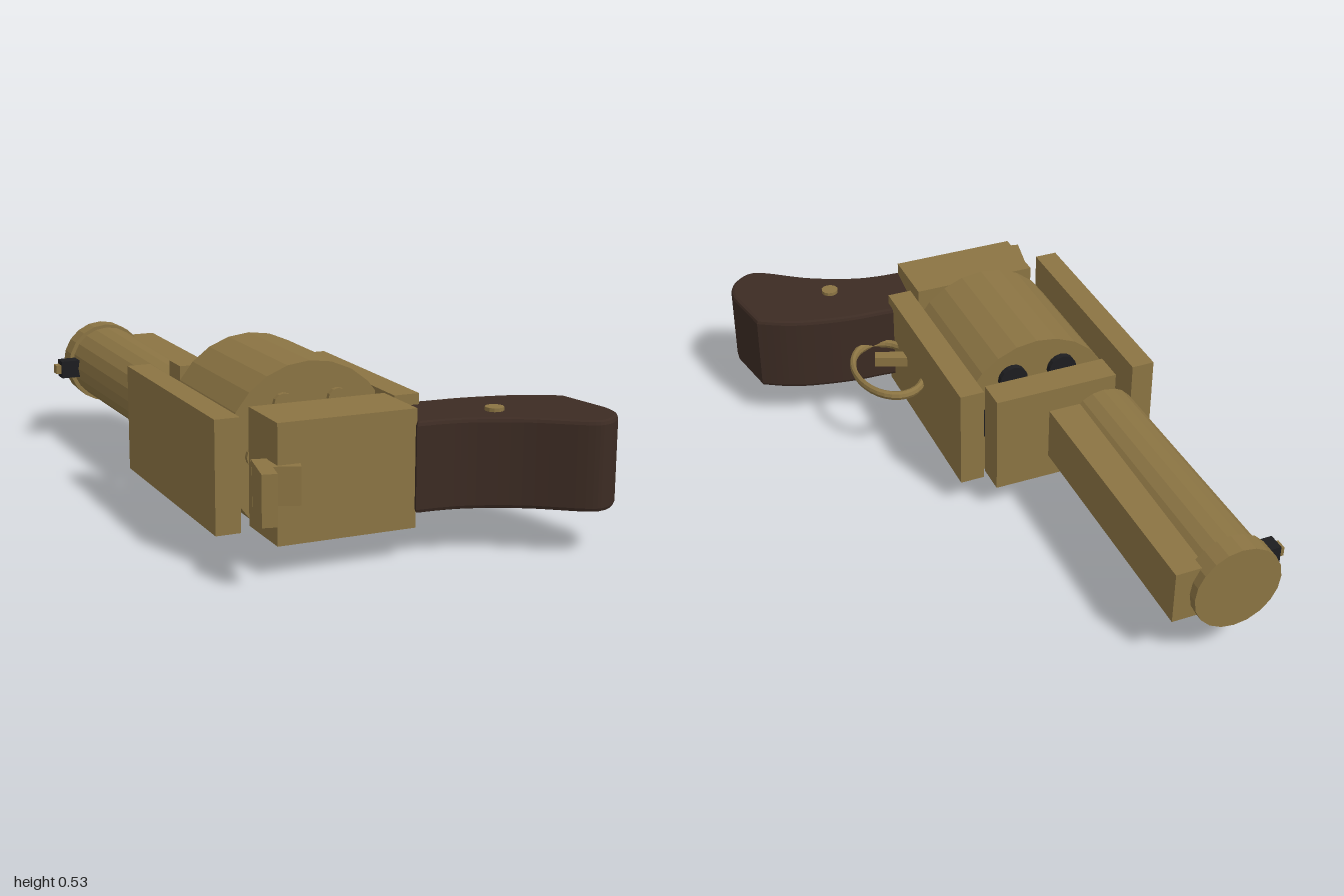
import * as THREE from 'three';

const MID = 0.265; // height of the bore plane; the revolver lies on its side

function material(name, color) {
  const m = new THREE.MeshStandardMaterial({ color, flatShading: true });
  m.name = name;
  return m;
}

export function createModel() {
  const model = new THREE.Group();
  model.name = 'revolver';
  const brass = material('brass', 0x8b7443);
  const wood = material('darkWood', 0x3c2b23);
  const black = material('blackSteel', 0x1d1d20);

  function add(name, geometry, mat, x, y, z) {
    const mesh = new THREE.Mesh(geometry, mat);
    mesh.name = name;
    mesh.position.set(x, y, z);
    model.add(mesh);
    return mesh;
  }
  // box from its limits in x and z, with its height centred on the bore plane
  function block(name, x0, x1, z0, z1, height, mat = brass) {
    const g = new THREE.BoxGeometry(x1 - x0, height, z1 - z0);
    return add(name, g, mat, (x0 + x1) / 2, MID, (z0 + z1) / 2);
  }
  // round part running along z
  function rod(name, x, y, z0, z1, r0, r1, sides, mat = brass) {
    const g = new THREE.CylinderGeometry(r1, r0, z1 - z0, sides);
    g.rotateX(Math.PI / 2);
    return add(name, g, mat, x, y, (z0 + z1) / 2);
  }

  // frame
  block('topStrap', -0.56, -0.485, -0.10, 0.66, 0.33);
  block('bottomStrap', 0.01, 0.09, -0.05, 0.61, 0.336);
  block('frontFrame', -0.415, -0.005, -0.12, -0.02, 0.334);
  block('rearFrame', -0.43, -0.01, 0.585, 0.79, 0.345);

  // drum with six chambers and cartridge rims
  rod('drum', -0.2, MID, 0.02, 0.485, 0.265, 0.265, 24);
  for (let i = 0; i < 6; i++) {
    const a = (i * Math.PI) / 3;
    const x = -0.2 + 0.17 * Math.cos(a);
    const y = MID + 0.17 * Math.sin(a);
    rod('chamberMouth', x, y, 0.0, 0.03, 0.048, 0.048, 16, black);
    rod('cartridgeRim', x, y, 0.48, 0.5, 0.032, 0.032, 12);
  }

  // barrel, muzzle ring, lug and sight
  rod('barrel', -0.372, MID, -0.94, -0.115, 0.129, 0.12, 20);
  rod('muzzleRing', -0.375, MID, -1.0, -0.93, 0.14, 0.14, 20);
  block('barrelLug', -0.37, -0.185, -0.97, -0.115, 0.175);
  block('frontSight', -0.56, -0.49, -0.92, -0.865, 0.06, black);
  block('sightBead', -0.578, -0.555, -0.91, -0.875, 0.03);

  // hammer and its spur
  add('hammer', new THREE.BoxGeometry(0.133, 0.11, 0.077), brass, -0.423, MID, 0.762).rotation.y = -0.34;
  add('hammerSpur', new THREE.BoxGeometry(0.043, 0.145, 0.155), brass, -0.489, MID, 0.84).rotation.y = -0.206;

  // trigger and oval guard
  add('trigger', new THREE.BoxGeometry(0.14, 0.035, 0.038), brass, 0.12, MID, 0.47).rotation.y = -0.38;
  const guardGeo = new THREE.TorusGeometry(0.165, 0.015, 8, 32);
  guardGeo.rotateX(Math.PI / 2);
  guardGeo.scale(0.68, 1, 1);
  add('triggerGuard', guardGeo, brass, 0.165, MID + 0.003, 0.42);

  // grip outline in x and z
  const outline = new THREE.Shape();
  outline.moveTo(0.012, 0.555);
  outline.splineThru([[0.12, 0.568], [0.24, 0.575], [0.373, 0.6], [0.46, 0.63], [0.54, 0.675]]
    .map(([x, z]) => new THREE.Vector2(x, z)));
  outline.lineTo(0.572, 0.857);
  outline.splineThru([[0.564, 0.91], [0.538, 0.955], [0.484, 0.992], [0.426, 0.98], [0.294, 0.888], [0.16, 0.827], [0.07, 0.806], [-0.015, 0.8]]
    .map(([x, z]) => new THREE.Vector2(x, z)));
  outline.closePath();
  const bevel = 0.012;
  const gripGeo = new THREE.ExtrudeGeometry(outline, {
    depth: 0.265 - 2 * bevel, bevelThickness: bevel, bevelSize: bevel,
    bevelOffset: -bevel, bevelSegments: 2, curveSegments: 4,
  });
  gripGeo.rotateX(Math.PI / 2);
  add('grip', gripGeo, wood, 0, 0.4 - bevel, 0);
  add('gripScrew', new THREE.CylinderGeometry(0.028, 0.028, 0.288, 12), brass, 0.253, 0.267, 0.76);

  return model;
}
